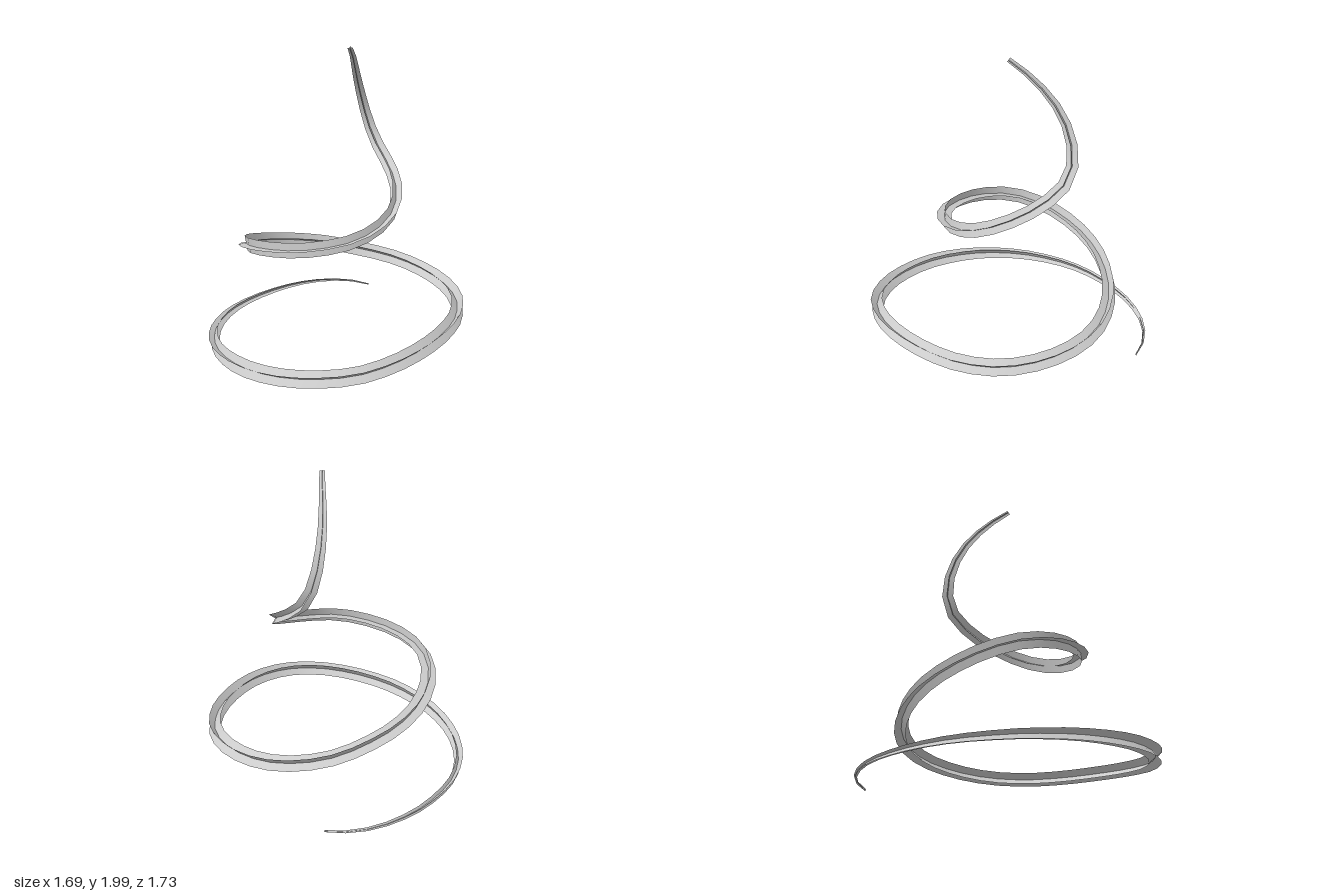
import * as THREE from 'three';

// Centre line of the spiral, from the thin tail on the ground to the tip
const PATH = [
  [0.835, 0.02, -0.435], [0.77, 0.03, -0.57], [0.66, 0.035, -0.68], [0.52, 0.038, -0.76],
  [0.355, 0.037, -0.815], [0.17, 0.035, -0.84], [-0.01, 0.033, -0.84], [-0.2, 0.035, -0.8],
  [-0.375, 0.04, -0.718], [-0.56, 0.055, -0.565], [-0.725, 0.08, -0.315], [-0.805, 0.115, 0.02],
  [-0.77, 0.148, 0.315], [-0.66, 0.182, 0.55], [-0.5, 0.21, 0.715], [-0.295, 0.237, 0.8],
  [-0.065, 0.257, 0.825], [0.2, 0.268, 0.79], [0.43, 0.275, 0.705], [0.63, 0.286, 0.55],
  [0.757, 0.302, 0.325], [0.8, 0.325, 0.06], [0.755, 0.355, -0.16], [0.627, 0.395, -0.36],
  [0.47, 0.445, -0.49], [0.265, 0.497, -0.585], [0.045, 0.553, -0.615], [-0.18, 0.62, -0.57],
  [-0.35, 0.685, -0.455], [-0.445, 0.73, -0.3], [-0.47, 0.77, -0.1], [-0.435, 0.8, 0.08],
  [-0.345, 0.83, 0.235], [-0.185, 0.86, 0.345], [0, 0.905, 0.385], [0.175, 0.97, 0.36],
  [0.32, 1.05, 0.27], [0.432, 1.145, 0.12], [0.487, 1.25, -0.035], [0.493, 1.34, -0.105],
  [0.472, 1.45, -0.138], [0.43, 1.57, -0.142], [0.37, 1.69, -0.122], [0.29, 1.805, -0.075],
  [0.2, 1.905, -0.012], [0.1, 1.985, 0.055],
];

// Half width of the ribbons along the path: [fraction, half width]
const WIDTHS = [[0, 0.006], [0.11, 0.026], [0.24, 0.054], [0.5, 0.053], [0.73, 0.05], [0.9, 0.042], [1, 0.016]];
const SEGMENTS = 72;

function halfWidth(u) {
  const i = Math.max(1, WIDTHS.findIndex(([f]) => f >= u - 1e-9));
  const [f0, w0] = WIDTHS[i - 1], [f1, w1] = WIDTHS[i];
  return THREE.MathUtils.mapLinear(u, f0, f1, w0, w1);
}

export function createModel() {
  const curve = new THREE.CatmullRomCurve3(PATH.map((p) => new THREE.Vector3(...p)));
  const points = curve.getSpacedPoints(SEGMENTS);
  const { normals, binormals } = curve.computeFrenetFrames(SEGMENTS, false);

  // Without extra twist, one ribbon lies level where the path is furthest left on its upper turn
  let anchor = 0;
  points.forEach((p, i) => {
    if (p.y > 0.6 && (points[anchor].y < 0.6 || p.x < points[anchor].x)) anchor = i;
  });
  const outward = new THREE.Vector3(-1, 0, 0);
  const roll = Math.atan2(outward.dot(binormals[anchor]), outward.dot(normals[anchor]));

  const material = new THREE.MeshStandardMaterial({ color: 0xcccccc, side: THREE.DoubleSide });

  // A flat strip swept along the path, rolled by an angle
  function ribbon(name, angle) {
    const position = [], index = [];
    points.forEach((p, i) => {
      const across = normals[i].clone().multiplyScalar(Math.cos(angle))
        .addScaledVector(binormals[i], Math.sin(angle));
      const w = halfWidth(i / SEGMENTS);
      for (const side of [-1, 1]) position.push(...p.clone().addScaledVector(across, side * w).toArray());
      if (i < SEGMENTS) {
        const a = i * 2;
        index.push(a, a + 1, a + 2, a + 1, a + 3, a + 2);
      }
    });
    const geometry = new THREE.BufferGeometry();
    geometry.setAttribute('position', new THREE.Float32BufferAttribute(position, 3));
    geometry.setIndex(index);
    geometry.computeVertexNormals();
    const mesh = new THREE.Mesh(geometry, material);
    mesh.name = name;
    return mesh;
  }

  // Two crossing ribbons give the trail its plus-shaped section
  const group = new THREE.Group();
  group.name = 'spiralTrail';
  group.add(ribbon('firstRibbon', roll), ribbon('crossRibbon', roll + Math.PI / 2));
  return group;
}
